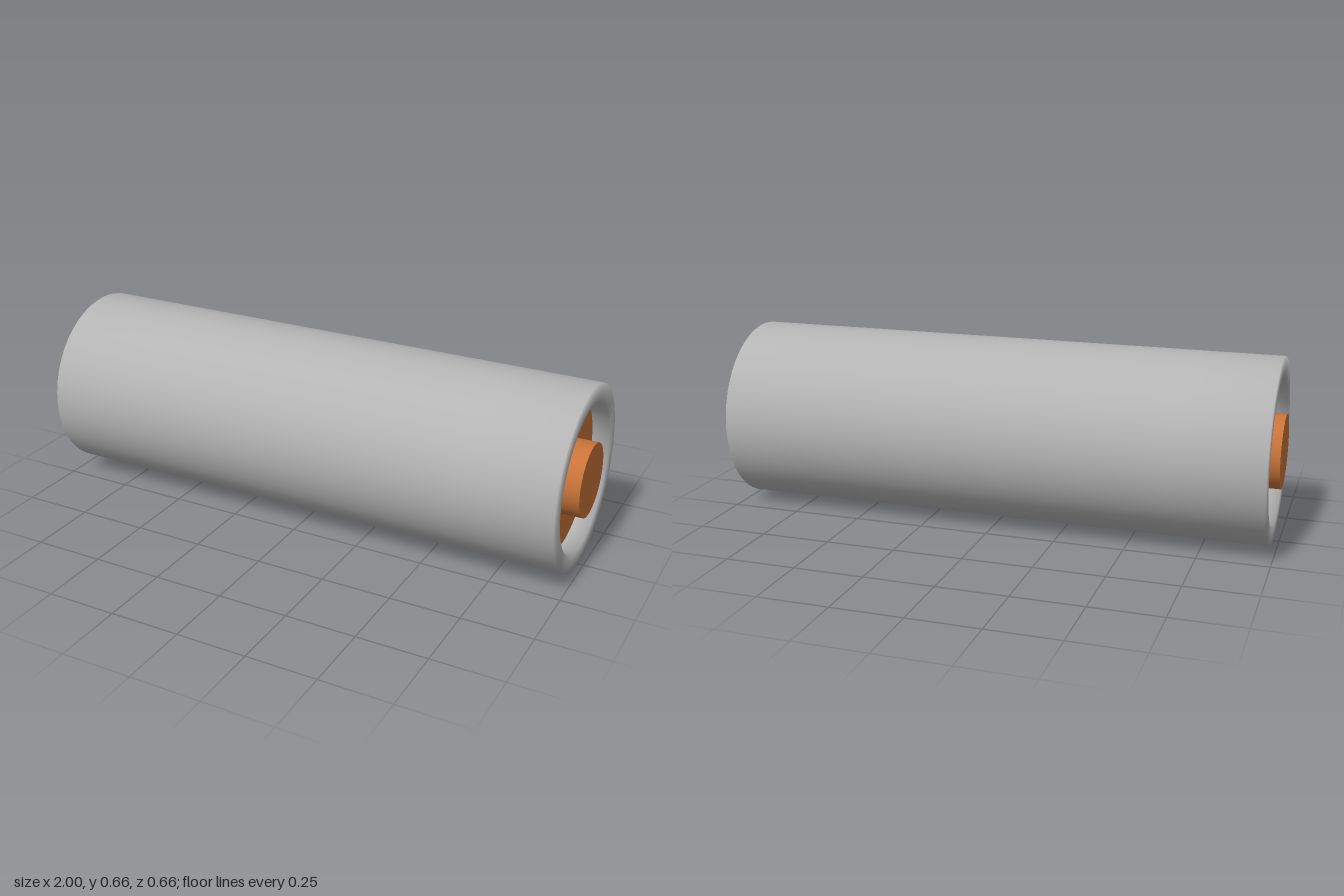
import * as THREE from 'three';

const SIDES = 48;
const RADIUS = 0.328;       // outer shell
const INNER = 0.263;        // recess at each end
const END = 0.98;           // rim plane
const FLOOR = 0.92;         // recess floor
const TIP = 1.0;            // contact face

export function createModel() {
  const shellGrey = new THREE.MeshStandardMaterial({ color: 0xb4b4b4 });
  shellGrey.name = 'shellGrey';
  const copper = new THREE.MeshStandardMaterial({ color: 0xc87339 });
  copper.name = 'copper';

  const model = new THREE.Group();
  model.name = 'cylinderCell';

  const add = (parent, name, geometry, material, y = 0) => {
    const mesh = new THREE.Mesh(geometry, material);
    mesh.name = name;
    mesh.position.y = y;
    parent.add(mesh);
  };

  // Parts are built along y, then the whole cell is laid along x
  const cell = new THREE.Group();
  cell.name = 'cell';
  cell.rotation.z = -Math.PI / 2;
  cell.position.y = RADIUS;
  model.add(cell);

  // Shell with a smooth-shaded rim and a shallow recess at both ends
  const profile = [
    [INNER, -FLOOR], [INNER, -END], [RADIUS, -END], [RADIUS, -0.66],
    [RADIUS, 0.66], [RADIUS, END], [INNER, END], [INNER, FLOOR],
  ].map(([r, y]) => new THREE.Vector2(r, y));
  add(cell, 'shell', new THREE.LatheGeometry(profile, SIDES), shellGrey);

  // End plate and raised contact, the same at both ends
  for (const [name, turn] of [['leftEnd', 0], ['rightEnd', Math.PI]]) {
    const end = new THREE.Group();
    end.name = name;
    end.rotation.x = turn;
    const plate = new THREE.CircleGeometry(INNER, SIDES).rotateX(-Math.PI / 2);
    add(end, 'endPlate', plate, copper, FLOOR);
    const contact = new THREE.CylinderGeometry(0.13, 0.13, TIP - FLOOR, SIDES);
    add(end, 'contact', contact, copper, (TIP + FLOOR) / 2);
    cell.add(end);
  }

  return model;
}
